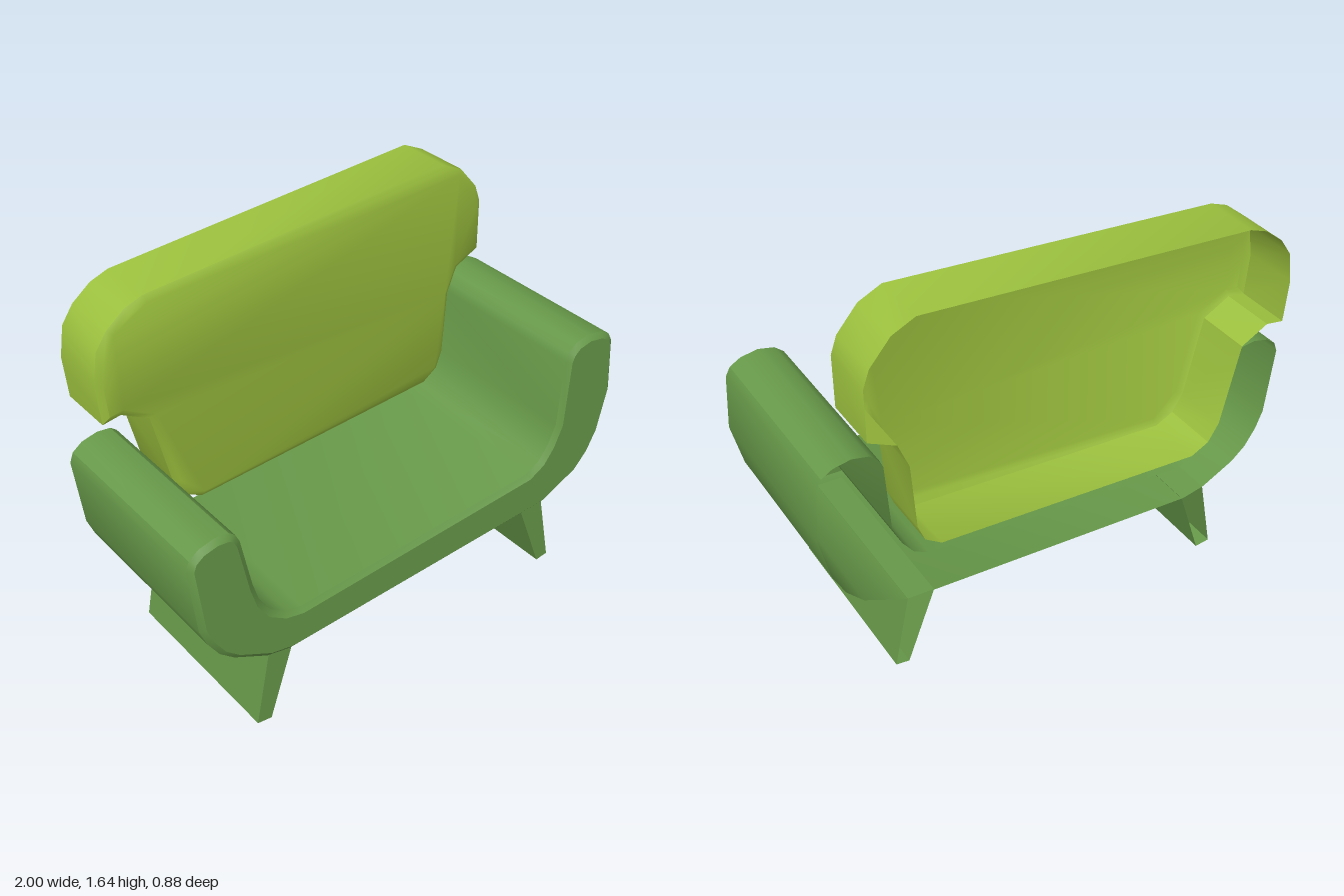
import * as THREE from 'three';
import { toCreasedNormals } from 'three/addons/utils/BufferGeometryUtils.js';

// Shrinks a counter-clockwise outline by a distance, mitring its corners
function insetOutline(points, distance) {
  const n = points.length;
  return points.map((p, i) => {
    const before = p.clone().sub(points[(i + n - 1) % n]).normalize();
    const after = points[(i + 1) % n].clone().sub(p).normalize();
    const n1 = new THREE.Vector2(-before.y, before.x);
    const n2 = new THREE.Vector2(-after.y, after.x);
    const miter = n1.clone().add(n2).normalize();
    return p.clone().addScaledVector(miter, distance / Math.max(miter.dot(n1), 0.5));
  });
}

// Open-backed shell: side walls, an optional bevel and a front panel
function shell(name, outline, zBack, zFront, bevel, bevelDepth, material) {
  const points = outline.map(([x, y]) => new THREE.Vector2(x, y));
  const rings = [{ pts: points, z: zBack }, { pts: points, z: zFront - bevelDepth }];
  if (bevel > 0) rings.push({ pts: insetOutline(points, bevel), z: zFront });
  const position = [];
  const add = (ring, i) => position.push(ring.pts[i].x, ring.pts[i].y, ring.z);

  for (let r = 0; r < rings.length - 1; r++) {
    const a = rings[r], b = rings[r + 1];
    for (let i = 0; i < points.length; i++) {
      const j = (i + 1) % points.length;
      add(a, i); add(a, j); add(b, j);
      add(a, i); add(b, j); add(b, i);
    }
  }
  const front = rings[rings.length - 1];
  for (const face of THREE.ShapeUtils.triangulateShape(front.pts, [])) {
    for (const i of face) add(front, i);
  }

  const geometry = new THREE.BufferGeometry();
  geometry.setAttribute('position', new THREE.Float32BufferAttribute(position, 3));
  const mesh = new THREE.Mesh(toCreasedNormals(geometry, 0.55), material);
  mesh.name = name;
  return mesh;
}

export function createModel() {
  const group = new THREE.Group();
  group.name = 'sofa';
  const green = new THREE.MeshStandardMaterial({ color: 0x679949, side: THREE.DoubleSide });
  green.name = 'leaf green';
  const lime = new THREE.MeshStandardMaterial({ color: 0x9cc13e, side: THREE.DoubleSide });
  lime.name = 'lime green';

  // Seat and both arms as one lopsided U
  const seat = [
    [-0.59, 0.302], [0.67, 0.373], [0.845, 0.455], [0.91, 0.525], [0.957, 0.615], [1, 0.8],
    [0.985, 1.025], [0.965, 1.062], [0.92, 1.088], [0.85, 1.1], [0.785, 1.085], [0.75, 1.055], [0.735, 1.02],
    [0.717, 0.735], [0.68, 0.65], [0.637, 0.592], [0.575, 0.557],
    [-0.535, 0.477], [-0.605, 0.492], [-0.67, 0.535], [-0.715, 0.605], [-0.74, 0.69],
    [-0.783, 0.905], [-0.8, 0.94], [-0.825, 0.96], [-0.88, 0.966], [-0.945, 0.95], [-0.985, 0.92], [-1, 0.88],
    [-0.967, 0.595], [-0.937, 0.52], [-0.89, 0.447], [-0.83, 0.395], [-0.69, 0.322],
  ];
  group.add(shell('seatAndArms', seat, -0.35, 0.437, 0.022, 0.018, green));

  // Backrest with wide shoulders
  const backrest = [
    [-0.54, 0.6], [0.57, 0.67], [0.635, 0.715], [0.662, 0.785],
    [0.68, 1.06], [0.722, 1.165], [0.83, 1.218], [0.83, 1.43], [0.805, 1.5], [0.722, 1.597], [0.63, 1.64],
    [-0.72, 1.547], [-0.795, 1.52], [-0.872, 1.46], [-0.92, 1.39], [-0.94, 1.265],
    [-0.925, 1.093], [-0.85, 1.105], [-0.737, 1.043], [-0.66, 0.712], [-0.615, 0.638],
  ];
  group.add(shell('backrest', backrest, -0.44, -0.193, 0.026, 0.015, lime));

  // Slab legs running the depth of the seat
  const leftLeg = [[0.68, 0.06], [0.735, 0.068], [0.672, 0.376], [0.562, 0.37]];
  const rightLeg = [[-0.745, 0.008], [-0.683, 0], [-0.583, 0.305], [-0.685, 0.323]];
  group.add(shell('leftLeg', leftLeg, -0.35, 0.419, 0, 0, green));
  group.add(shell('rightLeg', rightLeg, -0.35, 0.419, 0, 0, green));

  return group;
}
